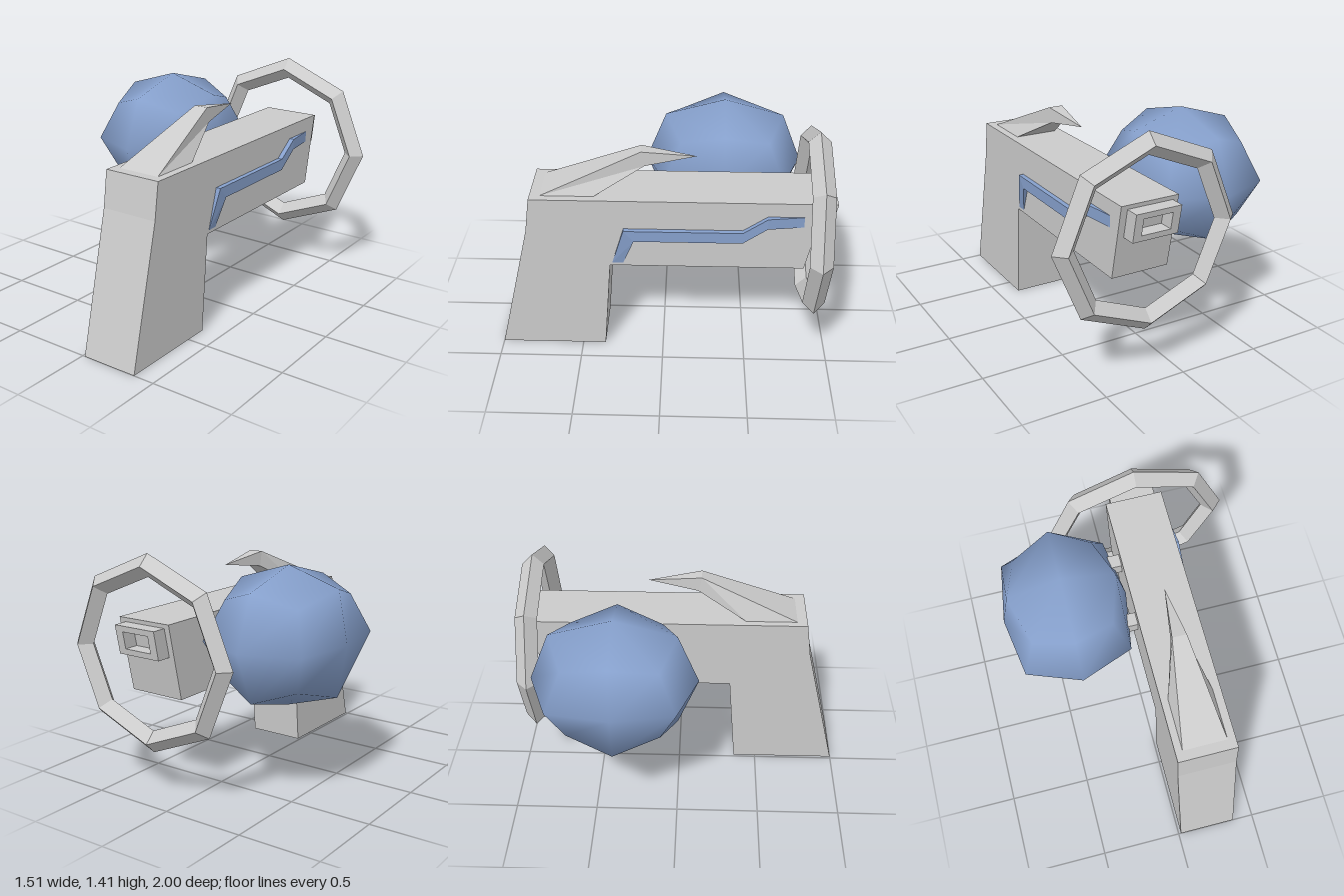
import * as THREE from 'three';
import { mergeVertices } from 'three/addons/utils/BufferGeometryUtils.js';

const grey = new THREE.MeshStandardMaterial({ color: 0xcccccc, flatShading: true });
const blue = new THREE.MeshStandardMaterial({ color: 0x86a0cc, flatShading: true });
const blueSmooth = new THREE.MeshStandardMaterial({ color: 0x86a0cc });

const MID = 0.19; // x of the body's centre plane

// Skin four-cornered cross-sections running from front to back
function loft(rings) {
  const pos = [];
  for (let i = 0; i < rings.length - 1; i++) {
    for (let j = 0; j < 4; j++) {
      const k = (j + 1) % 4, a = rings[i], b = rings[i + 1];
      pos.push(...a[j], ...a[k], ...b[k], ...a[j], ...b[k], ...b[j]);
    }
  }
  const g = new THREE.BufferGeometry();
  g.setAttribute('position', new THREE.Float32BufferAttribute(pos, 3));
  g.computeVertexNormals();
  return g;
}

// Grip and barrel in one side profile, given as (z, y)
function bodyGeometry() {
  const profile = [[1, 0], [0.8, 0.83], [0.77, 1.045], [-0.92, 1.045], [-0.83, 0.6], [0.315, 0.6], [0.36, 0]];
  const shape = new THREE.Shape(profile.map(p => new THREE.Vector2(...p)));
  const g = new THREE.ExtrudeGeometry(shape, { depth: 0.355, bevelEnabled: false });
  return g.rotateY(-Math.PI / 2).translate(0.37, 0, 0);
}

// Rectangular hollow frame, sheared to follow the slanted barrel end
function muzzleGeometry() {
  const rect = (P, w, h) => new P([[-w, -h], [w, -h], [w, h], [-w, h]].map(p => new THREE.Vector2(...p)));
  const shape = rect(THREE.Shape, 0.14, 0.085);
  shape.holes.push(rect(THREE.Path, 0.09, 0.05));
  const g = new THREE.ExtrudeGeometry(shape, { depth: 0.1, bevelEnabled: false });
  const p = g.attributes.position;
  for (let i = 0; i < p.count; i++) p.setZ(i, p.getZ(i) - 0.19 * p.getY(i));
  g.translate(MID, 0.935, -0.985);
  g.computeVertexNormals();
  return g;
}

// Cube divided once and rounded: edge middles pulled in, corners pulled in further
function tankGeometry() {
  let g = new THREE.BoxGeometry(2, 2, 2, 2, 2, 2);
  g.deleteAttribute('uv');
  g.deleteAttribute('normal');
  g = mergeVertices(g);
  const p = g.attributes.position;
  const factor = [0, 1, 0.75, 0.556];
  for (let i = 0; i < p.count; i++) {
    const v = new THREE.Vector3().fromBufferAttribute(p, i);
    const n = Math.round(Math.abs(v.x) + Math.abs(v.y) + Math.abs(v.z));
    const rx = n === 1 ? 0.38 : 0.43; // flatter on the two sides
    p.setXYZ(i, v.x * rx * factor[n], v.y * 0.405 * factor[n], v.z * 0.485 * factor[n]);
  }
  g.computeVertexNormals();
  return g;
}

export function createModel() {
  const group = new THREE.Group();
  const add = (name, geometry, material, x = 0, y = 0, z = 0) => {
    const m = new THREE.Mesh(geometry, material);
    m.name = name;
    m.position.set(x, y, z);
    group.add(m);
    return m;
  };

  add('body', bodyGeometry(), grey);
  add('muzzle', muzzleGeometry(), grey);

  // Eight-sided ring with a diamond section around the barrel end
  add('ring', new THREE.TorusGeometry(0.505, 0.065, 4, 8), grey, MID - 0.005, 0.84, -0.88);

  // Side tank and its two mounting pegs
  add('tank', tankGeometry(), blueSmooth, -0.38, 0.925, -0.36);
  for (const z of [-0.16, -0.56]) {
    add('tankPeg', new THREE.BoxGeometry(0.12, 0.085, 0.08), grey, -0.04, 0.932, z);
  }

  // Hammer spur: half width, top (y, z), bottom (y, z)
  const spur = [
    [0.132, 1.045, 0.71, 1.045, 0.4],
    [0.043, 1.29, 0.13, 1.2, 0.11],
    [0, 1.245, -0.19, 1.245, -0.19],
  ].map(([w, y1, z1, y2, z2]) => [
    [MID - w, y1, z1], [MID + w, y1, z1], [MID + w, y2, z2], [MID - w, y2, z2],
  ]);
  add('hammerSpur', loft(spur), grey);

  // Raised strip that sinks into the body at both ends: x, top (y, z), bottom (y, z)
  const strip = [
    [0.371, 0.62, 0.3, 0.62, 0.235],
    [0.4, 0.86, 0.23, 0.79, 0.17],
    [0.4, 0.86, -0.46, 0.79, -0.46],
    [0.4, 0.957, -0.6, 0.89, -0.6],
    [0.371, 0.957, -0.81, 0.89, -0.81],
  ].map(([x, y1, z1, y2, z2]) => [
    [0.36, y1, z1], [x, y1, z1], [x, y2, z2], [0.36, y2, z2],
  ]);
  add('sideStrip', loft(strip), blue);

  return group;
}
